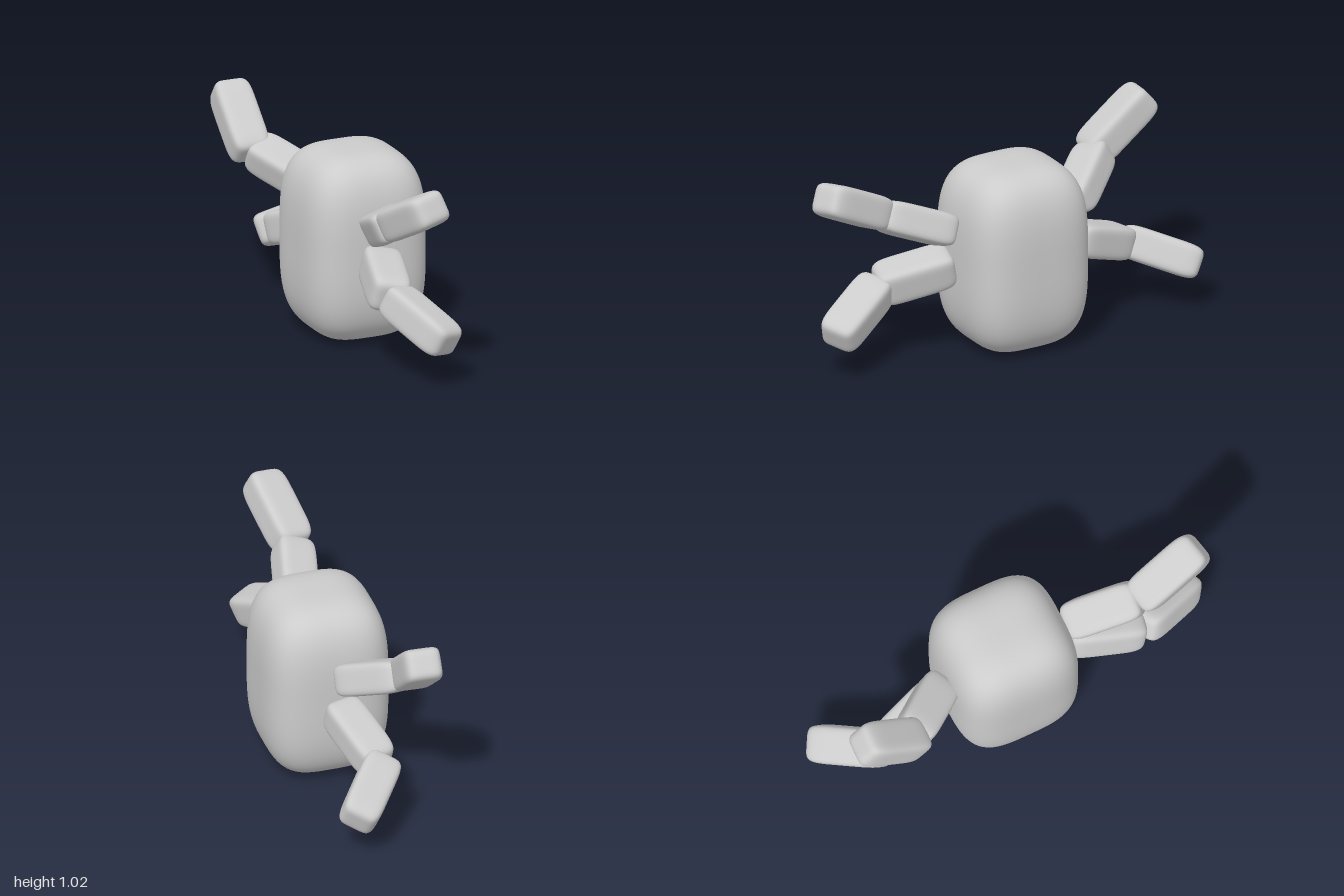
import * as THREE from 'three';
import { mergeVertices } from 'three/addons/utils/BufferGeometryUtils.js';

// Unit cube softened to a superellipsoid: higher power = squarer.
function softBox(w, h, d, power, seg = 20) {
  const box = new THREE.BoxGeometry(2, 2, 2, seg, seg, seg);
  box.deleteAttribute('uv');
  box.deleteAttribute('normal');
  const geo = mergeVertices(box);
  const pos = geo.attributes.position;
  const v = new THREE.Vector3();
  for (let i = 0; i < pos.count; i++) {
    v.fromBufferAttribute(pos, i);
    const sum = Math.abs(v.x) ** power + Math.abs(v.y) ** power + Math.abs(v.z) ** power;
    v.multiplyScalar(sum ** (-1 / power));
    pos.setXYZ(i, v.x * w / 2, v.y * h / 2, v.z * d / 2);
  }
  geo.computeVertexNormals();
  return geo;
}

// Each limb segment: centre, lengthwise direction, sideways direction, size [width, thickness, length]
const LIMBS = {
  frontUpperLimb: [
    { at: [-0.022, 0.68, 0.475], along: [-0.08, 0.13, 0.34], side: [1, 0.38, 0.08], size: [0.19, 0.16, 0.38] },
    { at: [-0.04, 0.83, 0.81], along: [0.055, 0.165, 0.33], side: [1, 0.2, -0.2], size: [0.19, 0.165, 0.4] },
  ],
  frontLowerLimb: [
    { at: [-0.035, 0.415, 0.48], along: [-0.09, -0.07, 0.34], side: [1, -0.2, 0.22], size: [0.19, 0.18, 0.38] },
    { at: [0, 0.307, 0.81], along: [0.13, -0.14, 0.29], side: [1, -0.2, -0.55], size: [0.19, 0.165, 0.4] },
  ],
  backUpperLimb: [
    { at: [-0.105, 0.68, -0.485], along: [-0.2, 0.13, -0.24], side: [0.7, 0.35, -0.6], size: [0.19, 0.16, 0.38] },
    { at: [-0.233, 0.855, -0.737], along: [0.01, 0.22, -0.27], side: [1, 0.05, 0], size: [0.185, 0.165, 0.4] },
  ],
  backLowerLimb: [
    { at: [-0.02, 0.388, -0.51], along: [-0.09, -0.115, -0.32], side: [0.95, 0, -0.28], size: [0.19, 0.165, 0.38] },
    { at: [0.022, 0.275, -0.825], along: [0.2, -0.1, -0.26], side: [0.75, 0.38, 0.45], size: [0.185, 0.165, 0.4] },
  ],
};

export function createModel() {
  const model = new THREE.Group();
  const material = new THREE.MeshStandardMaterial({ color: 0xcccccc });

  // Body
  const body = new THREE.Mesh(softBox(0.61, 0.915, 0.63, 3.5, 32), material);
  body.name = 'body';
  body.position.set(0.025, 0.4575, -0.02);
  model.add(body);

  // Four limbs of two segments each
  for (const [name, segments] of Object.entries(LIMBS)) {
    const limb = new THREE.Group();
    limb.name = name;
    segments.forEach(({ at, along, side, size: [w, t, l] }, i) => {
      const z = new THREE.Vector3(...along).normalize();
      const y = new THREE.Vector3().crossVectors(z, new THREE.Vector3(...side)).normalize();
      const x = new THREE.Vector3().crossVectors(y, z);
      const part = new THREE.Mesh(softBox(w, t, l, 5.5), material);
      part.name = i === 0 ? 'innerSegment' : 'outerSegment';
      part.quaternion.setFromRotationMatrix(new THREE.Matrix4().makeBasis(x, y, z));
      part.position.set(...at);
      limb.add(part);
    });
    model.add(limb);
  }
  return model;
}
